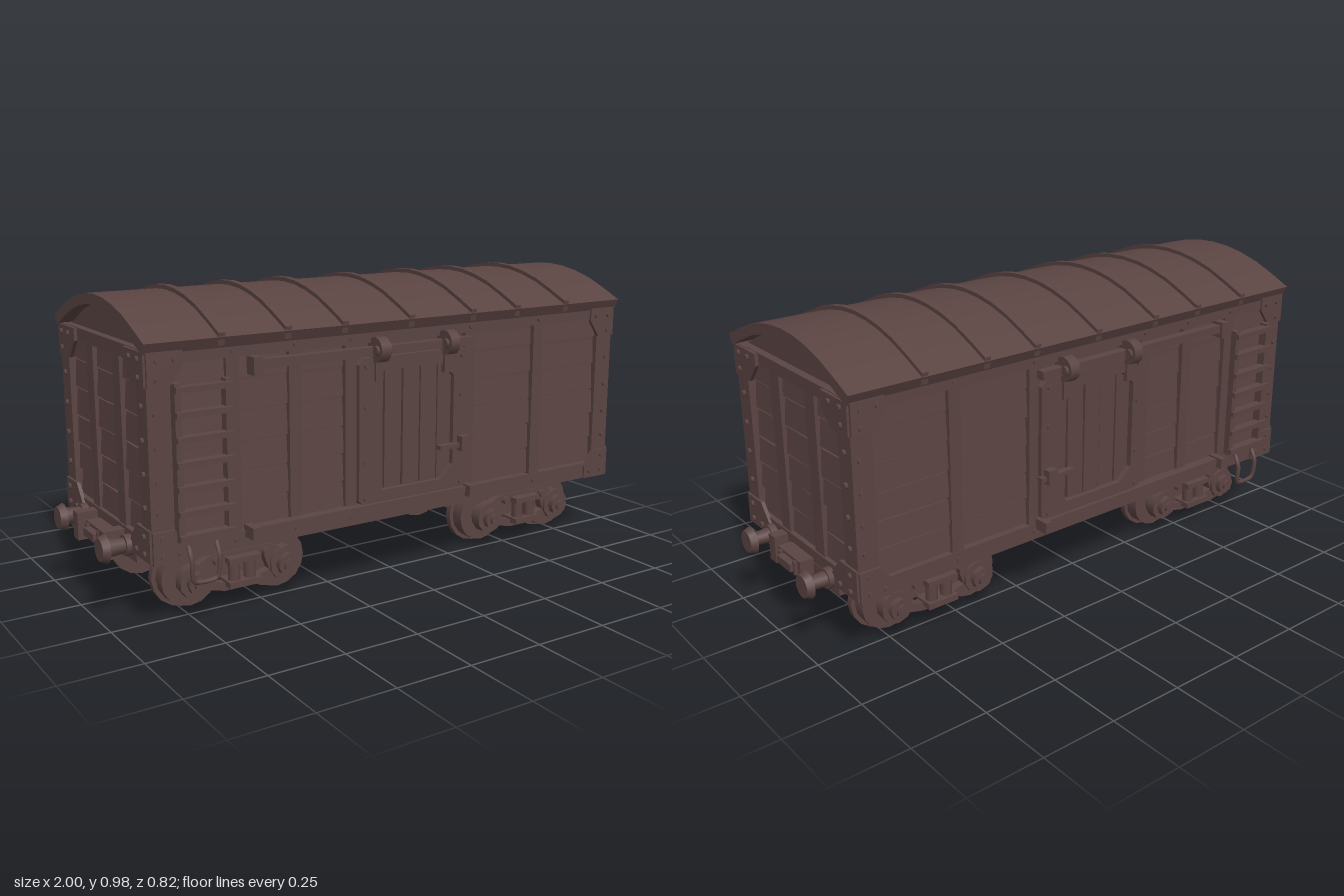
import * as THREE from 'three';
import { toCreasedNormals } from 'three/addons/utils/BufferGeometryUtils.js';

export function createModel() {
  const model = new THREE.Group();
  model.name = 'boxcar';
  const brown = new THREE.MeshStandardMaterial({ color: 0x5a4442 });
  brown.name = 'dark brown';

  let seed = 7;
  const jitter = (a) => {
    seed = (seed * 16807) % 2147483647;
    return (seed / 2147483647 - 0.5) * 2 * a;
  };
  const add = (parent, name, geo, x = 0, y = 0, z = 0) => {
    const m = new THREE.Mesh(geo, brown);
    m.name = name;
    m.position.set(x, y, z);
    parent.add(m);
    return m;
  };
  const group = (name, parent = model) => {
    const g = new THREE.Group();
    g.name = name;
    parent.add(g);
    return g;
  };
  // box given by its limits on each axis
  const span = (p, name, x0, x1, y0, y1, z0, z1) => add(p, name,
    new THREE.BoxGeometry(Math.abs(x1 - x0), Math.abs(y1 - y0), Math.abs(z1 - z0)),
    (x0 + x1) / 2, (y0 + y1) / 2, (z0 + z1) / 2);
  const cylinder = (axis, r1, r2, len, sides = 14) => {
    const g = new THREE.CylinderGeometry(r1, r2, len, sides);
    if (axis === 'x') g.rotateZ(-Math.PI / 2);
    if (axis === 'z') g.rotateX(Math.PI / 2);
    return g;
  };
  // extrusion centred on its depth, along z or turned to run along x
  const extrude = (points, depth, alongX = false, hole = null) => {
    const s = new THREE.Shape(points.map(([a, b]) => new THREE.Vector2(a, b)));
    if (hole) s.holes.push(new THREE.Path(hole.map(([a, b]) => new THREE.Vector2(a, b))));
    const g = new THREE.ExtrudeGeometry(s, { depth, bevelEnabled: false });
    g.translate(0, 0, -depth / 2);
    if (alongX) g.rotateY(Math.PI / 2);
    return g;
  };
  const octagon = (x0, x1, y0, y1, c) => [[x0 + c, y0], [x1 - c, y0], [x1, y0 + c], [x1, y1 - c],
    [x1 - c, y1], [x0 + c, y1], [x0, y1 - c], [x0, y0 + c]];

  // body core and curved roof
  const half = [[0, 0.967], [0.07, 0.963], [0.14, 0.951], [0.215, 0.93], [0.295, 0.897], [0.365, 0.865]];
  const arch = (dy, dz = 0) => [
    ...half.slice(1).reverse().map(([z, y]) => [-z + dz * z, y + dy]),
    ...half.map(([z, y]) => [z - dz * z, y + dy])];
  const under = arch(-0.033, 0.045);
  add(model, 'bodyCore', extrude([[0.32, 0.22], ...arch(-0.031, 0.1).reverse(), [-0.32, 0.22]], 1.74, true));
  add(model, 'roof', toCreasedNormals(extrude([...arch(0), ...under.slice().reverse()], 1.82, true), 0.5));
  for (const x of [-0.67, -0.45, -0.25, 0, 0.25, 0.44, 0.66])
    add(model, 'roofRib', toCreasedNormals(
      extrude([...arch(0.013), ...arch(-0.025, 0.02).reverse()], 0.022, true), 0.5), x);

  // underframe
  span(model, 'chassis', -0.88, 0.88, 0.185, 0.225, -0.225, 0.225);
  add(model, 'bellyBoard', extrude([[-0.16, 0.175], [0.16, 0.175], [0.24, 0.205], [-0.24, 0.205]], 0.44));

  const rows = [0.27, 0.36, 0.45, 0.54, 0.635, 0.73, 0.81];

  // long sides
  for (const s of [1, -1]) {
    const side = group(s > 0 ? 'frontSide' : 'backSide');
    const b = (name, x0, x1, y0, y1, z0, z1) => span(side, name, x0, x1, y0, y1, s * z0, s * z1);
    const bolt = (x, y, z) => add(side, 'bolt', cylinder('z', 0.009, 0.009, 0.014, 6), x, y, s * z);

    b('bottomSill', -0.9, 0.9, 0.215, 0.27, 0.3, 0.348);
    b('topBeam', -0.9, 0.9, 0.8, 0.84, 0.3, 0.348);
    const posts = [-0.865, -0.63, -0.42, -0.22, 0.25, 0.55, 0.865];
    posts.forEach((x, i) => {
      const w = i === 0 || i === 6 ? 0.035 : 0.021;
      b('sidePost', x - w, x + w, 0.22, 0.83, 0.3, 0.346);
      for (const y of [0.245, 0.82]) bolt(x, y, 0.348);
    });
    // lapped boards between the posts
    for (let i = 0; i < posts.length - 1; i++) {
      if (i === 3) continue;
      for (let r = 0; r < rows.length - 1; r++) {
        const m = b('sidePlank', posts[i], posts[i + 1], rows[r] + 0.004, rows[r + 1] - 0.004, 0.312, 0.331);
        m.rotation.x = -s * 0.07;
        m.rotation.z = jitter(0.012);
        m.position.z += s * jitter(0.003);
      }
    }
    // corner plates
    for (const e of [-1, 1]) {
      for (const [y0, d] of [[0.215, 1], [0.838, -1]]) {
        const pts = [[0.9, y0], [0.79, y0], [0.79, y0 + d * 0.045], [0.83, y0 + d * 0.1], [0.9, y0 + d * 0.1]];
        const flat = pts.map(([x, y]) => [x * e, y]);
        add(side, 'cornerPlate', extrude(flat, 0.012), 0, 0, s * 0.349);
        bolt(e * 0.815, y0 + d * 0.025, 0.356);
        bolt(e * 0.87, y0 + d * 0.025, 0.356);
        bolt(e * 0.87, y0 + d * 0.08, 0.356);
      }
      for (const y of [0.37, 0.46, 0.56, 0.66]) bolt(e * 0.875, y, 0.348);
    }

    // sliding door with its rails and rollers
    const door = octagon(-0.2, 0.235, 0.275, 0.755, 0.02);
    add(side, 'doorFrame', extrude(door, 0.034, false, octagon(-0.155, 0.172, 0.32, 0.71, 0.045)), 0, 0, s * 0.346);
    for (let i = 0; i < 5; i++) {
      const x = -0.165 + i * 0.07;
      const m = b('doorPlank', x + 0.003, x + 0.067, 0.3, 0.73, 0.31, 0.345 + jitter(0.004));
      m.rotation.z = jitter(0.008);
    }
    for (const x of [-0.175, 0.205]) for (const y of [0.3, 0.42, 0.6, 0.73]) bolt(x, y, 0.363);
    b('doorLatch', 0.11, 0.245, 0.422, 0.437, 0.355, 0.378);
    b('latchBlock', 0.19, 0.225, 0.41, 0.46, 0.35, 0.39);
    b('upperRail', -0.58, 0.24, 0.762, 0.79, 0.345, 0.376);
    b('railEnd', -0.58, -0.55, 0.745, 0.8, 0.34, 0.386);
    b('lowerRail', -0.6, 0.24, 0.255, 0.282, 0.34, 0.376);
    for (const x of [-0.6, 0.22]) b('lowerRailStop', x, x + 0.025, 0.25, 0.288, 0.34, 0.4);
    for (const x of [-0.13, 0.14]) {
      add(side, 'doorRoller', cylinder('x', 0.041, 0.041, 0.036, 12), x, 0.78, s * 0.371);
      add(side, 'rollerHub', cylinder('x', 0.016, 0.016, 0.056, 8), x, 0.78, s * 0.385);
      b('rollerStrap', x - 0.014, x + 0.014, 0.68, 0.77, 0.355, 0.372);
    }

    // ladder and hanging step
    for (const x of [-0.815, -0.655]) b('ladderRail', x - 0.01, x + 0.01, 0.275, 0.745, 0.34, 0.37);
    for (let i = 0; i < 7; i++) {
      const y = 0.29 + i * 0.073;
      b('ladderRung', -0.825, -0.645, y - 0.009, y + 0.009, 0.35, 0.382);
    }
    const path = new THREE.CatmullRomCurve3([[-0.79, 0.26, 0.355], [-0.79, 0.22, 0.374], [-0.785, 0.155, 0.37],
      [-0.775, 0.147, 0.368], [-0.715, 0.147, 0.368], [-0.705, 0.155, 0.37], [-0.7, 0.22, 0.374], [-0.7, 0.26, 0.355]]
      .map(([x, y, z]) => new THREE.Vector3(x, y, s * z)));
    add(side, 'hangingStep', new THREE.TubeGeometry(path, 28, 0.008, 6));
  }

  // ends
  for (const e of [1, -1]) {
    const end = group(e > 0 ? 'leftEnd' : 'rightEnd');
    const b = (name, x0, x1, y0, y1, z0, z1) => span(end, name, e * x0, e * x1, y0, y1, z0, z1);
    const bolt = (x, y, z) => add(end, 'bolt', cylinder('x', 0.01, 0.01, 0.014, 6), e * x, y, z);

    b('endSill', 0.85, 0.898, 0.22, 0.278, -0.346, 0.346);
    b('endTopBeam', 0.85, 0.896, 0.8, 0.84, -0.346, 0.346);
    b('bufferBeam', 0.84, 0.9, 0.187, 0.235, -0.225, 0.225);
    for (const [z0, z1] of [[-0.278, -0.13], [-0.085, 0.085], [0.13, 0.278]])
      for (let r = 0; r < rows.length - 1; r++) {
        const m = b('endPlank', 0.862, 0.88, rows[r] + 0.004, rows[r + 1] - 0.004, z0, z1);
        m.rotation.z = e * 0.07;
        m.rotation.x = jitter(0.02);
        m.position.x += jitter(0.003);
      }
    for (const s of [1, -1]) {
      b('cornerPost', 0.85, 0.9, 0.22, 0.84, s * 0.276, s * 0.346);
      b('endPost', 0.85, 0.893, 0.23, 0.84, s * 0.08, s * 0.136);
      for (const [y0, d] of [[0.22, 1], [0.838, -1]]) {
        const pts = [[0.346, y0], [0.2, y0], [0.2, y0 + d * 0.04], [0.25, y0 + d * 0.1], [0.346, y0 + d * 0.1]];
        add(end, 'endGusset', extrude(pts.map(([z, y]) => [z * s, y]), 0.012, true), e * 0.901);
        bolt(0.908, y0 + d * 0.022, s * 0.25);
        bolt(0.908, y0 + d * 0.022, s * 0.31);
        bolt(0.908, y0 + d * 0.075, s * 0.31);
      }
      for (const y of [0.38, 0.48, 0.58, 0.68]) bolt(0.902, y, s * 0.31);

      // buffer
      add(end, 'bufferShank', cylinder('x', 0.021, 0.028, 0.09, 10), e * 0.93, 0.235, s * 0.182);
      add(end, 'bufferHead', cylinder('x', e > 0 ? 0.036 : 0.045, e > 0 ? 0.045 : 0.036, 0.022, 14),
        e * 0.989, 0.235, s * 0.182);
      add(end, 'bufferCollar', cylinder('x', 0.033, 0.033, 0.022, 12), e * 0.912, 0.235, s * 0.182);
      if (e < 0 || s > 0) b('couplingHanger', 0.89, e > 0 ? 0.945 : 0.965, 0.178, 0.268, s * 0.092, s * 0.132);
    }
    // coupler housing with a recessed mouth
    add(end, 'couplerHousing', extrude([[-0.071, 0.195], [0.071, 0.195], [0.071, 0.249], [-0.071, 0.249]], 0.05, true,
      [[-0.045, 0.207], [0.045, 0.207], [0.045, 0.239], [-0.045, 0.239]]), e * 0.92);
    b('couplerBlock', 0.9, 0.965, 0.21, 0.236, -0.042, 0.042);
    b('couplerKnuckle', 0.9, 0.955, 0.2, 0.245, -0.053, -0.04);
    b('couplerKnuckle', 0.9, 0.955, 0.2, 0.245, 0.04, 0.053);
  }

  // bogies
  for (const cx of [-0.575, 0.575]) {
    const bogie = group('bogie');
    bogie.position.x = cx;
    span(bogie, 'bolster', -0.1, 0.1, 0.085, 0.19, -0.225, 0.225);
    span(bogie, 'centreBeam', -0.2, 0.2, 0.1, 0.17, -0.075, 0.075);
    for (const dx of [-0.155, 0.155])
      add(bogie, 'axle', cylinder('z', 0.026, 0.026, 0.5, 10), dx, 0.108, 0);
    for (const s of [1, -1]) {
      for (const dx of [-0.155, 0.155]) {
        const at = (name, r, z0, z1, n = 16) =>
          add(bogie, name, cylinder('z', r, r, z1 - z0, n), dx, 0.108, s * (z0 + z1) / 2);
        at('wheelFlange', 0.108, 0.155, 0.177);
        at('wheelTread', 0.094, 0.177, 0.222);
        at('wheelHub', 0.045, 0.222, 0.24, 12);
        at('axleBox', 0.056, 0.238, 0.275, 10);
        at('axleCap', 0.036, 0.275, 0.296, 8);
        at('axleBolt', 0.02, 0.296, 0.306, 6);
      }
      // side frame joining the axle boxes
      add(bogie, 'sideFrame', extrude([[-0.18, 0.14], [-0.19, 0.085], [-0.12, 0.07], [-0.055, 0.055], [0.055, 0.055],
        [0.12, 0.07], [0.19, 0.085], [0.18, 0.14], [0.1, 0.18], [-0.1, 0.18]], 0.03, false,
      [[-0.1, 0.095], [-0.05, 0.08], [0.05, 0.08], [0.1, 0.095], [0.08, 0.15], [-0.08, 0.15]]), 0, 0, s * 0.25);
      span(bogie, 'springPlate', -0.055, 0.055, 0.07, 0.09, s * 0.225, s * 0.298);
      span(bogie, 'springCap', -0.055, 0.055, 0.148, 0.166, s * 0.225, s * 0.298);
      for (const dx of [-0.027, 0.027])
        add(bogie, 'spring', cylinder('y', 0.02, 0.02, 0.07, 8), dx, 0.118, s * 0.27);
      for (const dx of [-0.085, 0.085])
        add(bogie, 'frameBolt', cylinder('z', 0.014, 0.014, 0.04, 6), dx, 0.16, s * 0.265);
    }
  }
  return model;
}
